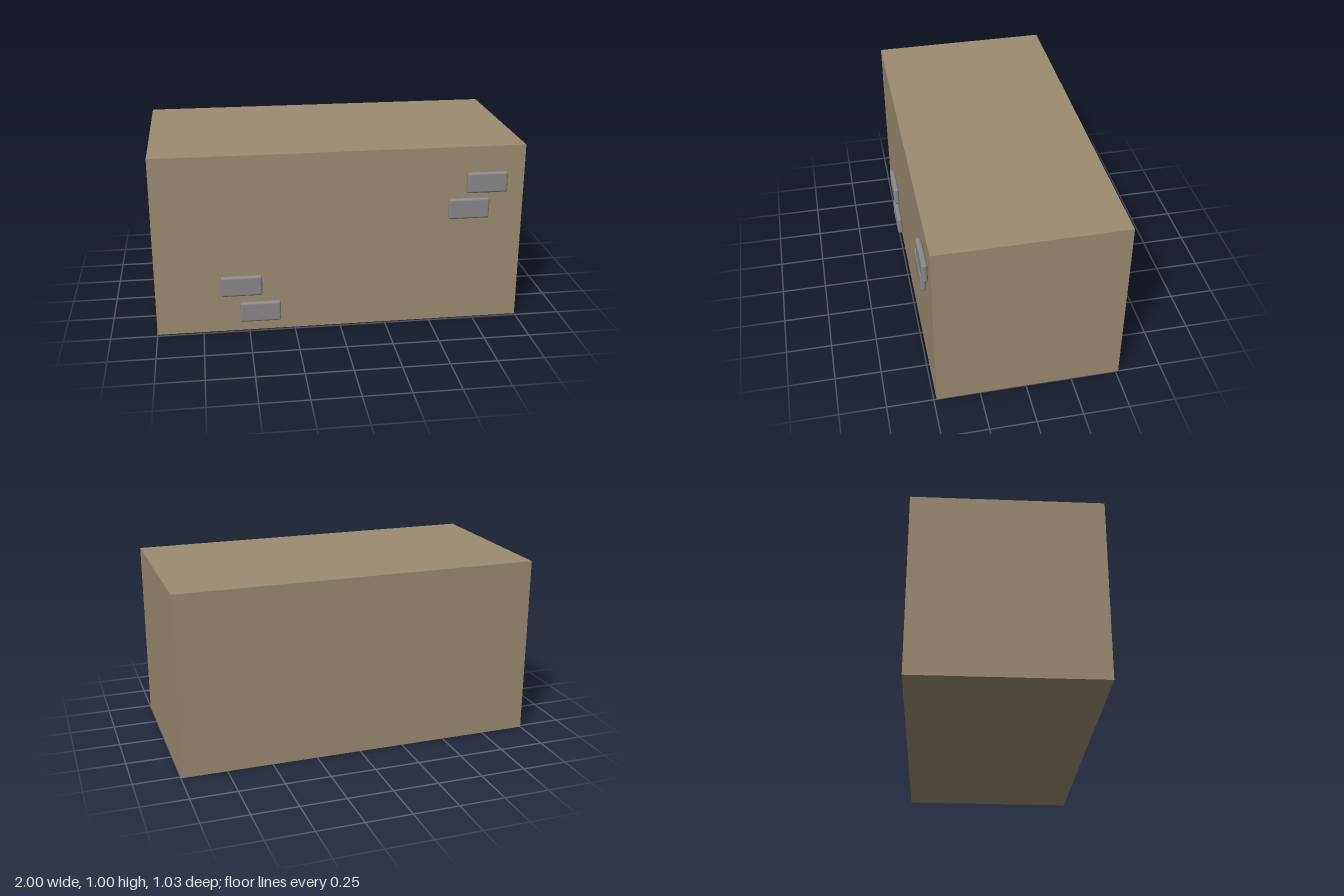
import * as THREE from 'three';
import { RoundedBoxGeometry } from 'three/addons/geometries/RoundedBoxGeometry.js';

export function createModel() {
  const model = new THREE.Group();
  model.name = 'wallBlock';

  const plaster = new THREE.MeshStandardMaterial({ color: 0x9b8c71 });
  plaster.name = 'tan plaster';
  const stone = new THREE.MeshStandardMaterial({ color: 0x8a8888 });
  stone.name = 'grey brick';

  // Main block
  const wall = new THREE.Mesh(new THREE.BoxGeometry(2, 1, 1), plaster);
  wall.name = 'wall';
  wall.position.set(0, 0.5, -0.015);
  model.add(wall);

  // Exposed bricks with softened edges, resting on the front face
  const bricks = new THREE.Group();
  bricks.name = 'bricks';
  const brickGeometry = new RoundedBoxGeometry(0.222, 0.114, 0.03, 2, 0.012);
  const centres = [
    [-0.537, 0.272],
    [-0.438, 0.116],
    [0.698, 0.659],
    [0.792, 0.803],
  ];
  for (const [x, y] of centres) {
    const brick = new THREE.Mesh(brickGeometry, stone);
    brick.name = 'brick';
    brick.position.set(x, y, 0.5);
    bricks.add(brick);
  }
  model.add(bricks);

  return model;
}
